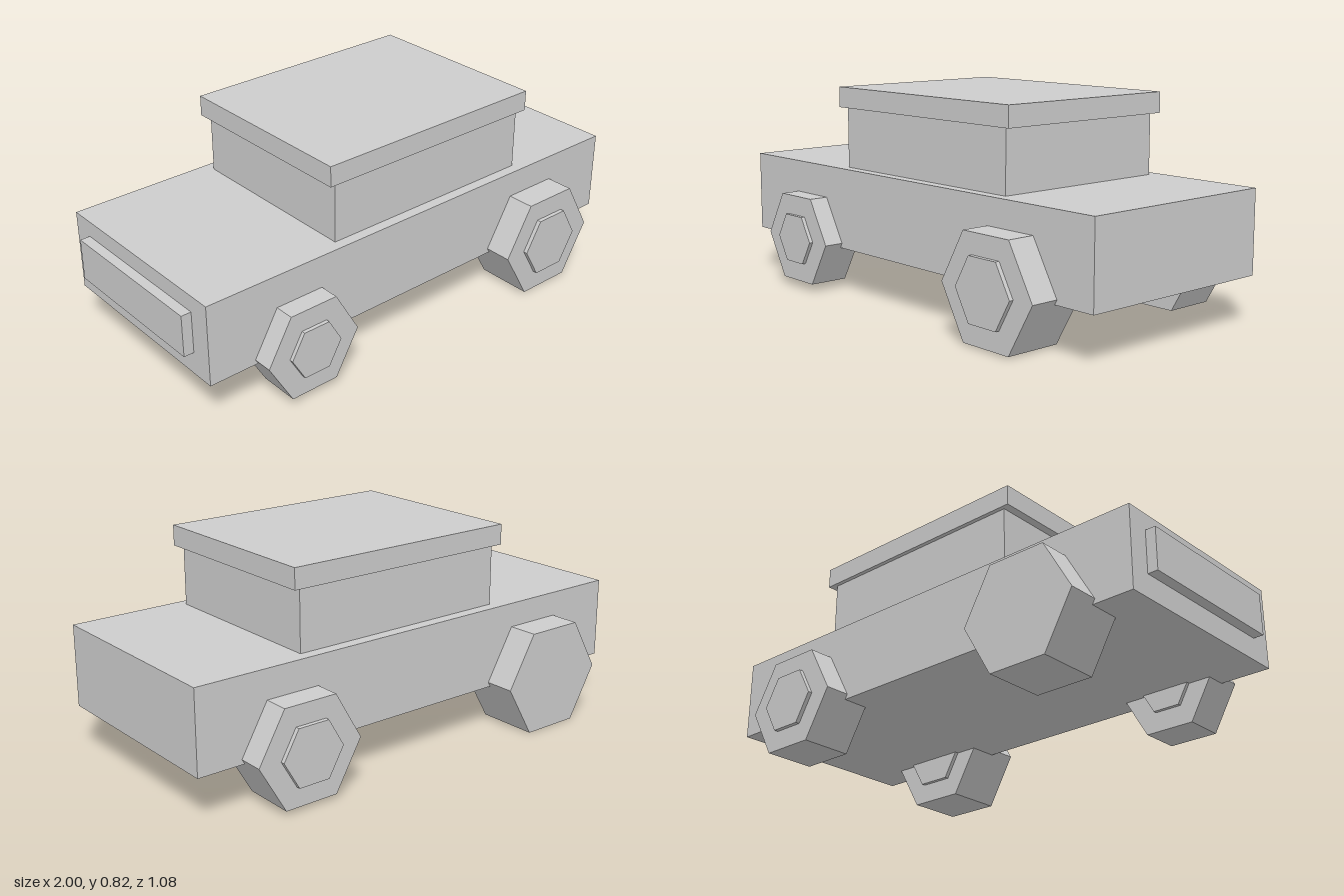
import * as THREE from 'three';

export function createModel() {
  const model = new THREE.Group();
  model.name = 'car';
  const grey = new THREE.MeshStandardMaterial({ color: 0xcccccc });
  grey.name = 'plain grey';

  function add(name, geometry, x, y, z, parent = model) {
    const mesh = new THREE.Mesh(geometry, grey);
    mesh.name = name;
    mesh.position.set(x, y, z);
    parent.add(mesh);
  }

  // Box given by its extents on each axis
  function box(name, [x0, x1], [y0, y1], [z0, z1]) {
    add(name, new THREE.BoxGeometry(x1 - x0, y1 - y0, z1 - z0),
      (x0 + x1) / 2, (y0 + y1) / 2, (z0 + z1) / 2);
  }

  // Six-sided prism along z, with corners pointing along x
  function hexPrism(radius, width) {
    return new THREE.CylinderGeometry(radius, radius, width, 6, 1, false, Math.PI / 6)
      .toNonIndexed().rotateX(Math.PI / 2);
  }

  function faceted(geometry) {
    geometry.computeVertexNormals();
    return geometry;
  }

  // Bodywork
  box('body', [-0.96, 1], [0.19, 0.51], [-0.418, 0.412]);
  box('cabin', [-0.373, 0.54], [0.51, 0.747], [-0.372, 0.369]);
  box('roof', [-0.405, 0.572], [0.747, 0.827], [-0.389, 0.386]);
  box('grille', [-1, -0.96], [0.28, 0.445], [-0.332, 0.322]);

  // Wheels of slightly uneven size; hubs run through and show on both sides
  const wheels = [
    { name: 'frontGrilleWheel', x: -0.57, z: 0.41, r: 0.2, w: 0.16, hubR: 0.11, hubW: 0.19 },
    { name: 'frontTailWheel', x: 0.607, z: 0.41, r: 0.228, w: 0.225, hubR: 0.137, hubW: 0.258 },
    { name: 'backGrilleWheel', x: -0.57, z: -0.415, r: 0.236, w: 0.246 },
    { name: 'backTailWheel', x: 0.607, z: -0.415, r: 0.217, w: 0.206, hubR: 0.127, hubW: 0.24 },
  ];
  for (const { name, x, z, r, w, hubR, hubW } of wheels) {
    const wheel = new THREE.Group();
    wheel.name = name;
    wheel.position.set(x, 0.209, z);
    add('tyre', faceted(hexPrism(r, w)), 0, 0, 0, wheel);
    if (hubR) add('hub', faceted(hexPrism(hubR, hubW)), 0, 0, 0, wheel);
    model.add(wheel);
  }
  return model;
}
